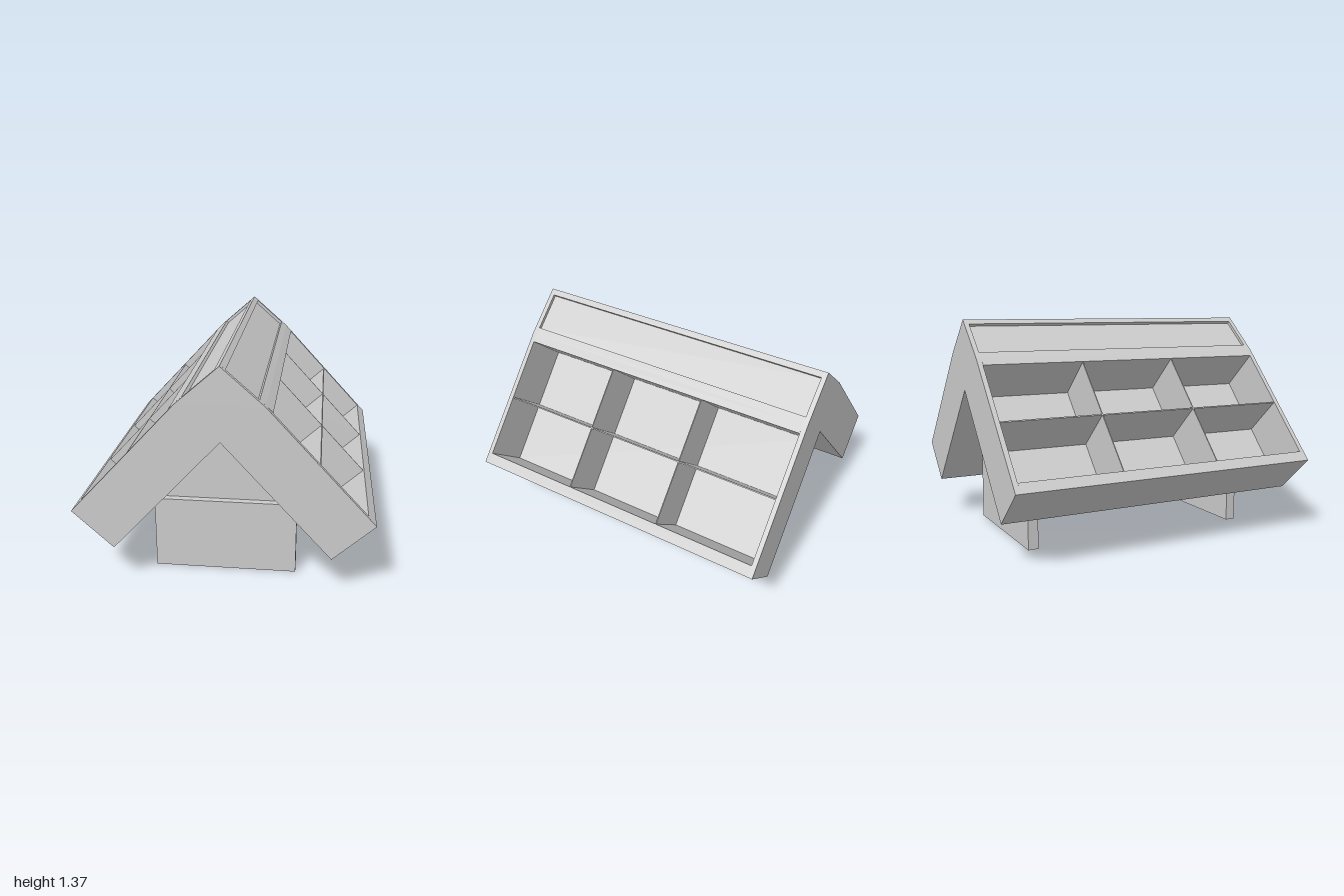
import * as THREE from 'three';

const material = new THREE.MeshStandardMaterial({ color: 0xcccccc, flatShading: true });

// Slope frame: s runs down the roof slope from the inner apex, t runs outward.
const APEX_Y = 0.935, SLOPE_X = 0.677, SLOPE_Y = 0.736;
const LENGTH = 0.94, THICK = 0.332;
const OPEN_TOP = 0.067, OPEN_END = 0.87, FLOOR = 0.008, RIM = 0.325;
const END = 0.97; // inside of the end panels

const at = (side, s, t) => [
  side * (s * SLOPE_X + t * SLOPE_Y),
  APEX_Y - s * SLOPE_Y + t * SLOPE_X,
];

// Slab between two slope coordinates, as an outline in x and y
const slab = (side, s0, s1, t0, t1) =>
  [at(side, s0, t0), at(side, s1, t0), at(side, s1, t1), at(side, s0, t1)];

const mirror = (points) => points.map(([x, y]) => [-x, y]).reverse();

// Prism with the given outline between two z positions
function prism(name, points, z0, z1) {
  const shape = new THREE.Shape(points.map(([x, y]) => new THREE.Vector2(x, y)));
  const geometry = new THREE.ExtrudeGeometry(shape, { depth: z1 - z0, bevelEnabled: false });
  geometry.translate(0, 0, z0);
  const mesh = new THREE.Mesh(geometry, material);
  mesh.name = name;
  return mesh;
}

// One sloping shelf unit with two rows of three compartments
function createShelfSide(side) {
  const group = new THREE.Group();
  group.name = side > 0 ? 'leftShelfSide' : 'rightShelfSide';
  const mid = (OPEN_TOP + OPEN_END) / 2;
  group.add(
    prism('backPanel', slab(side, OPEN_TOP, OPEN_END, 0, FLOOR), -END, END),
    prism('lowerBoard', slab(side, OPEN_END, LENGTH, 0, THICK), -END, END),
    prism('middleShelf', slab(side, mid - 0.004, mid + 0.004, FLOOR, RIM), -END, END),
  );
  for (const z of [-0.323, 0.323]) {
    group.add(prism('compartmentDivider', slab(side, OPEN_TOP, OPEN_END, FLOOR, RIM), z - 0.003, z + 0.003));
  }
  return group;
}

// Ridge block with a shallow tray sunk into each top face
function createRidge() {
  const half = [
    [0.03, 1.344], [0.017, 1.329], [0.202, 1.166], [0.215, 1.181], [0.25, 1.15],
    at(1, OPEN_TOP, THICK), at(1, OPEN_TOP, 0),
  ];
  return prism('ridge', [[0, 1.37], ...half, [0, APEX_Y], ...mirror(half)], -END, END);
}

// Full-profile end panel closing both shelf sides and the ridge
function createEndPanel(z0, z1) {
  const half = [[0.25, 1.15], at(1, LENGTH, THICK), at(1, LENGTH, 0)];
  return prism('endPanel', [[0, 1.37], ...half, [0, APEX_Y], ...mirror(half)], z0, z1);
}

// Support: thick lower board, thin gable flush with its inner face
function createSupport(z0, z1) {
  const group = new THREE.Group();
  group.name = 'support';
  const [left, right, top] = [0.425, -0.44, 0.453];
  group.add(prism('supportBoard', [[right, 0], [left, 0], [left, top], [right, top]], z0, z1));
  const gable = [[right, top], [left, top], [-0.007, 0.925]];
  const thin = 0.02;
  group.add(z0 > 0
    ? prism('supportGable', gable, z0, z0 + thin)
    : prism('supportGable', gable, z1 - thin, z1));
  return group;
}

export function createModel() {
  const model = new THREE.Group();
  model.name = 'roofShapedShelf';
  model.add(
    createShelfSide(1),
    createShelfSide(-1),
    createRidge(),
    createEndPanel(END, 1),
    createEndPanel(-1, -END),
    createSupport(0.685, 0.75),
    createSupport(-0.765, -0.7),
  );
  return model;
}
